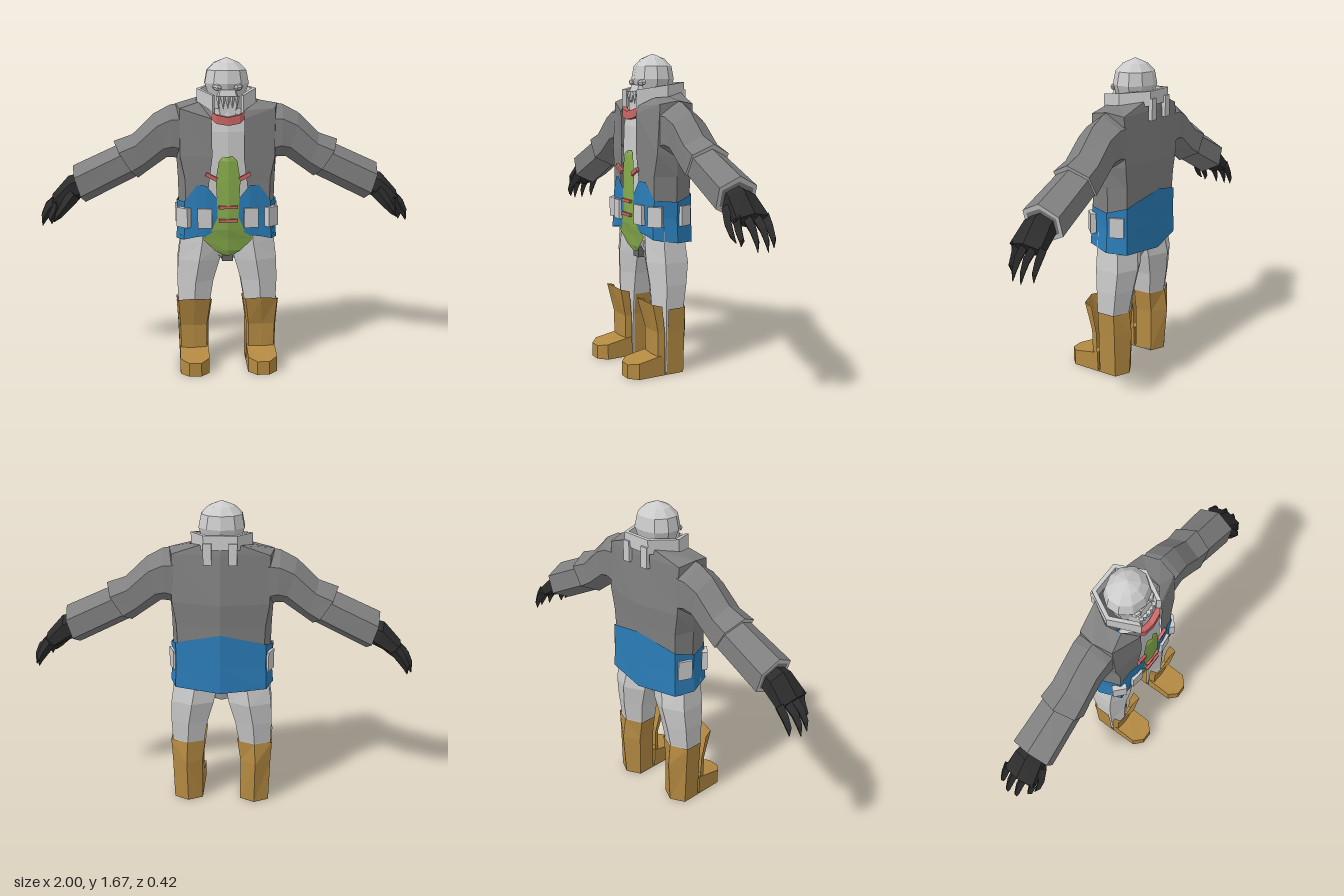
import * as THREE from 'three';

const mats = {};
const mat = (color) => (mats[color] ??= new THREE.MeshStandardMaterial({ color, flatShading: true, side: THREE.DoubleSide }));
const GREY = 0xcccccc, JACKET = 0x808080, BLACK = 0x2c2c2c, BLUE = 0x2b7db8;
const GREEN = 0x86ab4c, RED = 0xcc6666, BROWN = 0xb48a42;

// Skin a surface across rows of [x, y, z] points; closed joins each row into a ring.
function loft(name, color, rows, { closed = true, cap = closed } = {}) {
  const n = rows[0].length, index = [];
  for (let r = 0; r < rows.length - 1; r++) {
    for (let i = 0; i < (closed ? n : n - 1); i++) {
      const j = (i + 1) % n, a = r * n, b = a + n;
      index.push(a + i, a + j, b + j, a + i, b + j, b + i);
    }
  }
  if (cap) {
    const last = (rows.length - 1) * n;
    for (let i = 1; i < n - 1; i++) index.push(0, i + 1, i, last, last + i, last + i + 1);
  }
  const geo = new THREE.BufferGeometry();
  geo.setAttribute('position', new THREE.Float32BufferAttribute(rows.flat(2), 3));
  geo.setIndex(index);
  const flat = geo.toNonIndexed();
  flat.computeVertexNormals();
  const mesh = new THREE.Mesh(flat, mat(color));
  mesh.name = name;
  return mesh;
}

function box(name, color, size, pos, rotY = 0, rotZ = 0) {
  const mesh = new THREE.Mesh(new THREE.BoxGeometry(...size), mat(color));
  mesh.name = name;
  mesh.position.set(...pos);
  mesh.rotation.set(0, rotY, rotZ);
  return mesh;
}

// Mirror a half row (front to back centre) into a full row.
const mirrorRow = (half) => [...half, ...half.slice(0, -1).reverse().map(([x, y, z]) => [-x, y, z])];

// Upright hexagon across an arm, from its top point to its bottom point.
function armRing(s, [tx, ty, bx, by, w], zc = -0.058) {
  const p = (t, z) => [s * (tx + (bx - tx) * t), ty + (by - ty) * t, zc + z];
  return [p(0, 0), p(0.25, w), p(0.75, w), p(1, 0), p(0.75, -w), p(0.25, -w)];
}

// Four-sided digit tapering along a path of [x, y, z, radius].
const digit = (name, s, path) => loft(name, BLACK, path.map(([x, y, z, r]) =>
  [[s * (x + r), y + r, z], [s * x, y, z + r], [s * (x - r), y - r, z], [s * x, y, z - r]]));

function arm(s) {
  const g = new THREE.Group();
  g.name = s > 0 ? 'leftArm' : 'rightArm';
  const ring = (v) => armRing(s, v);
  const upperEnd = [0.6, 1.24, 0.475, 1.04, 0.104];
  const cuffEnd = [0.82, 1.11, 0.76, 0.91, 0.104];
  g.add(loft('upperSleeve', JACKET, [
    [0.24, 1.44, 0.24, 1.13, 0.1], [0.3, 1.43, 0.28, 1.15, 0.1],
    [0.385, 1.385, 0.32, 1.15, 0.094], [0.5, 1.275, 0.42, 1.08, 0.096], upperEnd].map(ring), { cap: false }));
  g.add(loft('cuff', JACKET, [[0.55, 1.235, 0.46, 1.06, 0.09], [0.59, 1.215, 0.5, 1.04, 0.094], cuffEnd].map(ring), { cap: false }));
  // pale rims at the sleeve openings
  g.add(loft('sleeveRim', GREY, [upperEnd, [0.585, 1.215, 0.49, 1.06, 0.088]].map(ring), { cap: false }));
  g.add(loft('cuffRim', GREY, [cuffEnd, [0.812, 1.085, 0.768, 0.935, 0.086]].map(ring), { cap: false }));
  g.add(loft('cuffLining', JACKET, [[0.812, 1.085, 0.768, 0.935, 0.086], [0.74, 1.08, 0.7, 0.98, 0.05]].map(ring)));
  // gloved hand
  g.add(loft('palm', BLACK, [[0.74, 1.08, 0.7, 0.98, 0.05], [0.845, 1.055, 0.79, 0.93, 0.075],
    [0.935, 0.955, 0.885, 0.885, 0.088]].map(ring)));
  for (let i = 0; i < 4; i++) {
    const z = -0.142 + i * 0.052, curl = [0.02, 0, 0.005, 0.045][i];
    g.add(digit('finger', s, [[0.9, 0.93, z, 0.022], [0.955 - curl, 0.885, z, 0.02],
      [0.985 - curl, 0.835, z, 0.014], [0.998 - curl * 1.4, 0.787 + curl * 0.5, z, 0.002]]));
  }
  g.add(digit('thumb', s, [[0.81, 0.97, 0.01, 0.028], [0.86, 0.905, 0.035, 0.02],
    [0.895, 0.86, 0.038, 0.014], [0.92, 0.825, 0.03, 0.002]]));
  return g;
}

function leg(s) {
  const g = new THREE.Group();
  g.name = s > 0 ? 'leftLeg' : 'rightLeg';
  // rows are y, inner x, outer x, front z, back z
  const ring = ([y, a, b, f, k]) => {
    const m = (a + b) / 2, q = (f - k) * 0.22;
    return [[m, y, f], [b, y, f - q], [b, y, k + q], [m, y, k], [a, y, k + q], [a, y, f - q]].map(([x, Y, z]) => [s * x, Y, z]);
  };
  g.add(loft('trouserLeg', GREY, [[0.8, 0.01, 0.245, 0.06, -0.15], [0.7, 0.02, 0.255, 0.065, -0.16],
    [0.6, 0.04, 0.268, 0.067, -0.173], [0.48, 0.075, 0.272, 0.055, -0.155], [0.36, 0.095, 0.268, 0.048, -0.135],
    [0.22, 0.112, 0.262, 0.045, -0.145], [0.01, 0.112, 0.255, 0.045, -0.132]].map(ring)));
  // boot shells, split by a narrow side gap
  g.add(loft('bootBack', BROWN, [[0.36, 0.088, 0.277, -0.14], [0.24, 0.105, 0.27, -0.156], [0, 0.105, 0.262, -0.14]]
    .map(([y, a, b, k]) => { const m = (a + b) / 2;
      return [[b, y, 0], [b, y, -0.1], [m, y, k], [a, y, -0.1], [a, y, 0]].map(([x, Y, z]) => [s * x, Y, z]); }), { closed: false }));
  g.add(loft('bootFront', BROWN, [[0.38, 0.085, 0.278, 0.108, 0.04, 0.025], [0.235, 0.105, 0.268, 0.056, 0.018, 0], [0, 0.105, 0.262, 0.056, 0.012, 0]]
    .map(([y, a, b, f, e, lift]) => { const m = (a + b) / 2, c = (f + e) / 2;
      return [[b, y, e], [b - 0.01, y + lift / 2, c + 0.015], [m, y + lift, f], [a + 0.01, y + lift / 2, c + 0.015], [a, y, e]]
        .map(([x, Y, z]) => [s * x, Y, z]); }), { closed: false }));
  const plan = [[0.105, 0.015], [0.105, 0.165], [0.15, 0.21], [0.215, 0.21], [0.262, 0.165], [0.262, 0.015]];
  g.add(loft('bootFoot', BROWN, [0, 1].map((t) => plan.map(([x, z]) =>
    [s * x, t * (0.112 - Math.max(0, z - 0.05) * 0.23), z]))));
  const heel = [[0.105, 0.015], [0.262, 0.015], [0.262, -0.1], [0.183, -0.14], [0.105, -0.1]];
  g.add(loft('bootSole', 0x777777, [0.001, 0.01].map((y) => heel.map(([x, z]) => [s * x, y, z]))));
  return g;
}

function head() {
  const g = new THREE.Group();
  g.name = 'head';
  const rings = [[1.675, 0.004], [1.65, 0.068], [1.612, 0.108], [1.545, 0.122], [1.48, 0.1], [1.38, 0.075]];
  g.add(loft('skull', GREY, rings.map(([y, r]) => Array.from({ length: 10 }, (_, i) => {
    const a = (i / 10) * Math.PI * 2;
    return [r * Math.sin(a), y, -0.055 + r * 0.9 * Math.cos(a)];
  }))));
  const jaw = [[1.515, 0.055, 0.048], [1.47, 0.068, 0.062], [1.385, 0.058, 0.062]];
  g.add(loft('jaw', GREY, jaw.map(([y, x, z]) => [[-x, y, -0.02], [-x * 0.7, y, z], [x * 0.7, y, z], [x, y, -0.02]])));
  for (let i = 0; i < 5; i++) {
    const tooth = new THREE.Mesh(new THREE.ConeGeometry(0.014, 0.065, 4), mat(GREY));
    tooth.name = 'tooth';
    tooth.position.set((i - 2) * 0.024, 1.45, 0.068 - Math.abs(i - 2) * 0.004);
    tooth.rotation.x = Math.PI;
    g.add(tooth);
  }
  for (const s of [-1, 1]) {
    const eye = new THREE.Mesh(new THREE.SphereGeometry(1, 6, 4), mat(0xe4e4e4));
    eye.name = 'eye';
    eye.scale.set(0.028, 0.017, 0.016);
    eye.position.set(s * 0.056, 1.527, 0.04);
    eye.rotation.set(0, s * 0.45, s * 0.15);
    g.add(eye);
  }
  return g;
}

function torso() {
  const g = new THREE.Group();
  g.name = 'torso';
  // open jacket
  g.add(loft('jacket', JACKET, [
    [[0.085, 1.41, 0.075], [0.15, 1.45, 0.02], [0.165, 1.455, -0.06], [0.1, 1.475, -0.17], [0, 1.48, -0.19]],
    [[0.085, 1.37, 0.088], [0.25, 1.42, 0.04], [0.27, 1.437, -0.058], [0.25, 1.42, -0.15], [0, 1.43, -0.198]],
    [[0.082, 1.17, 0.088], [0.25, 1.17, 0.055], [0.268, 1.15, -0.055], [0.25, 1.17, -0.16], [0, 1.17, -0.212]],
    [[0.1, 1.03, 0.083], [0.225, 1.05, 0.06], [0.262, 1.05, -0.055], [0.23, 1.05, -0.155], [0, 1.05, -0.203]],
    [[0.12, 0.78, 0.075], [0.22, 0.78, 0.06], [0.255, 0.78, -0.055], [0.22, 0.78, -0.145], [0, 0.78, -0.19]],
  ].map(mirrorRow), { closed: false }));
  g.add(loft('shirt', GREY, [[1.42, 0.085, 0.06], [1.3, 0.1, 0.078], [1.1, 0.11, 0.08], [0.75, 0.13, 0.07]]
    .map(([y, x, z]) => [[-x, y, z - 0.015], [0, y, z], [x, y, z - 0.015]]), { closed: false }));
  // wide waist wrap
  g.add(loft('waistWrap', BLUE, [
    [[0.05, 0.94, 0.088], [0.115, 1.02, 0.09], [0.165, 1.02, 0.078], [0.23, 0.93, 0.06], [0.27, 0.92, -0.055], [0.235, 0.95, -0.157], [0, 1.01, -0.206]],
    [[0.05, 0.85, 0.09], [0.115, 0.85, 0.088], [0.165, 0.85, 0.078], [0.225, 0.84, 0.065], [0.264, 0.83, -0.055], [0.235, 0.83, -0.157], [0, 0.83, -0.203]],
    [[0.06, 0.78, 0.083], [0.115, 0.745, 0.08], [0.165, 0.74, 0.075], [0.235, 0.725, 0.07], [0.275, 0.705, -0.055], [0.24, 0.7, -0.16], [0, 0.682, -0.2]],
  ].map(mirrorRow), { closed: false }));
  g.add(loft('pelvis', GREY, [[0.8, 0.23, 0.06, -0.16], [0.7, 0.2, 0.055, -0.15], [0.6, 0.035, 0.02, -0.09]]
    .map(([y, x, f, k]) => [[-x, y, f - 0.02], [0, y, f], [x, y, f - 0.02], [x, y, k + 0.02], [0, y, k], [-x, y, k + 0.02]])));
  // green front panel with a raised centre line
  g.add(loft('frontPanel', GREEN, [[1.172, 0.025, 0.092], [1.15, 0.048, 0.098], [1.05, 0.065, 0.1], [0.96, 0.06, 0.102],
    [0.85, 0.055, 0.102], [0.78, 0.085, 0.094], [0.725, 0.135, 0.08], [0.66, 0.07, 0.072], [0.63, 0.03, 0.06]]
    .map(([y, x, z]) => [[-x, y, z - 0.01], [0, y, z], [x, y, z - 0.01]]), { closed: false }));
  g.add(box('crotch', 0x666666, [0.06, 0.06, 0.06], [0, 0.625, 0.015]));
  // straps and neck band
  for (const y of [0.905, 0.832]) g.add(box('strap', RED, [0.1, 0.016, 0.015], [0, y, 0.102]));
  g.add(loft('neckBand', RED, [[-0.085, 1.405, 1.365, 0.075], [-0.06, 1.39, 1.345, 0.094], [0, 1.378, 1.335, 0.1],
    [0.06, 1.39, 1.345, 0.094], [0.085, 1.405, 1.365, 0.075]]
    .map(([x, t, b, z]) => [[x, t, z], [x, b, z], [x, b, z - 0.03], [x, t, z - 0.03]])));
  // belt pouches and slanted straps
  for (const s of [-1, 1]) {
    g.add(box('slantStrap', RED, [0.065, 0.02, 0.016], [s * 0.088, 1.068, 0.098], 0, s * 0.5));
    for (const [x, z, r] of [[0.122, 0.086, 0.1], [0.234, 0.058, 0.75], [0.25, -0.105, 1.95]]) {
      g.add(box('pouch', GREY, [0.076, 0.105, 0.03], [s * x, 0.845, z], s * r));
    }
  }
  return g;
}

function collar() {
  const g = new THREE.Group();
  g.name = 'collar';
  // corners are x, z, top y, bottom y, running round from the open front
  const half = [[0.08, 0.085, 1.49, 1.395], [0.158, -0.06, 1.515, 1.44], [0.085, -0.2, 1.528, 1.455]];
  const path = [...half, ...half.slice().reverse().map(([x, ...r]) => [-x, ...r])];
  g.add(loft('collarBand', GREY, path.map(([x, z, t, b]) => {
    const ix = x * 0.86, iz = -0.06 + (z + 0.06) * 0.86;
    return [[x, t, z], [x, b, z], [ix, b, iz], [ix, t, iz]];
  })));
  for (const s of [-1, 1]) g.add(box('collarTab', GREY, [0.042, 0.11, 0.022], [s * 0.064, 1.435, -0.199]));
  return g;
}

export function createModel() {
  const model = new THREE.Group();
  model.name = 'figure';
  model.add(torso(), collar(), head());
  for (const s of [-1, 1]) model.add(arm(s), leg(s));
  return model;
}
